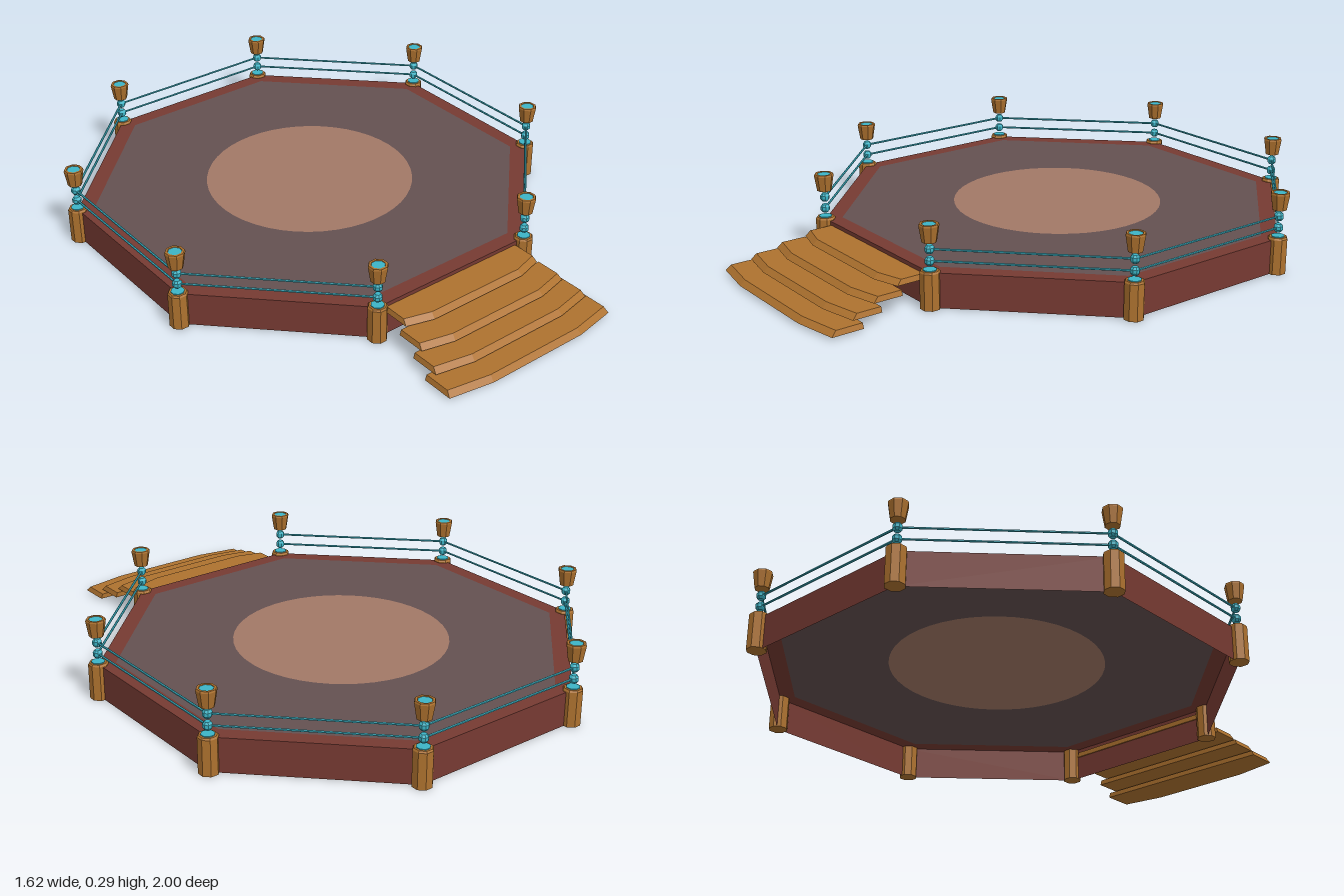
import * as THREE from 'three';

const CENTRE_Z = -0.185;
const OUTER = 0.844;   // corner radius of the octagon
const INNER = 0.785;   // corner radius of the floor
const HEIGHT = 0.12;
const ARENA = 0.375;

const mat = (name, color, side = THREE.FrontSide) => {
  const m = new THREE.MeshStandardMaterial({ color, side, flatShading: true });
  m.name = name;
  return m;
};

export function createModel() {
  const model = new THREE.Group();
  model.name = 'octagonalPlatform';

  const wood = mat('wood', 0xae722f);
  const red = mat('redTrim', 0x763a32, THREE.DoubleSide);
  const grey = mat('greyFloor', 0x645151, THREE.DoubleSide);
  const tan = mat('tanCircle', 0xa27866, THREE.DoubleSide);
  const teal = mat('tealRope', 0x3cb4c6);

  const add = (parent, name, geometry, material, x = 0, y = 0, z = 0) => {
    const mesh = new THREE.Mesh(geometry, material);
    mesh.name = name;
    mesh.position.set(x, y, z);
    parent.add(mesh);
    return mesh;
  };
  const flat = (geometry) => geometry.rotateX(-Math.PI / 2);
  const corner = (k, r) => {
    const a = Math.PI / 8 + k * Math.PI / 4;
    return new THREE.Vector2(Math.cos(a) * r, Math.sin(a) * r);
  };

  // Platform: open-bottomed skirt, rim, floor and centre circle
  const platform = new THREE.Group();
  platform.name = 'platform';
  platform.position.z = CENTRE_Z;
  model.add(platform);
  add(platform, 'skirt', new THREE.CylinderGeometry(OUTER, OUTER, HEIGHT, 8, 1, true, Math.PI / 8), red, 0, HEIGHT / 2, 0);
  add(platform, 'rim', flat(new THREE.RingGeometry(INNER, OUTER, 8, 1, Math.PI / 8)), red, 0, HEIGHT, 0);
  const floor = new THREE.Shape(Array.from({ length: 8 }, (_, k) => corner(k, INNER)));
  floor.holes.push(new THREE.Path().absarc(0, 0, ARENA, 0, Math.PI * 2, true));
  add(platform, 'floor', flat(new THREE.ShapeGeometry(floor, 24)), grey, 0, HEIGHT, 0);
  add(platform, 'centreCircle', flat(new THREE.CircleGeometry(ARENA, 48)), tan, 0, HEIGHT, 0);

  // Corner posts with rope beads and floating cups
  const postGeo = new THREE.LatheGeometry(
    [[0, 0], [0.034, 0], [0.034, 0.124], [0.03, 0.13], [0, 0.13]].map(([r, y]) => new THREE.Vector2(r, y)), 8);
  const cupGeo = new THREE.LatheGeometry(
    [[0, 0.225], [0.025, 0.225], [0.034, 0.28], [0.032, 0.286], [0.024, 0.286], [0.022, 0.28], [0, 0.28]]
      .map(([r, y]) => new THREE.Vector2(r, y)), 8);
  const beadGeo = new THREE.LatheGeometry(
    [[0, -0.014], [0.01, -0.014], [0.016, -0.006], [0.016, 0.006], [0.01, 0.014], [0, 0.014]]
      .map(([r, y]) => new THREE.Vector2(r, y)), 8);
  const discGeo = new THREE.CylinderGeometry(0.023, 0.023, 0.006, 8);
  const ropeLevels = [0.16, 0.2];

  for (let k = 0; k < 8; k++) {
    const p = corner(k, OUTER);
    const post = new THREE.Group();
    post.name = 'cornerPost';
    post.position.set(p.x, 0, p.y);
    post.rotation.y = -(Math.PI / 8 + k * Math.PI / 4);
    platform.add(post);
    add(post, 'postBase', postGeo, wood);
    add(post, 'postCap', discGeo, teal, 0, 0.13, 0);
    add(post, 'cup', cupGeo, wood);
    add(post, 'cupFilling', discGeo, teal, 0, 0.281, 0);
    for (const y of ropeLevels) add(post, 'ropeBead', beadGeo, teal, 0, y, 0);

    // Ropes on every side except the stair opening at the front
    if (k === 1) continue;
    const q = corner(k + 1, OUTER);
    for (const y of ropeLevels) {
      const path = new THREE.LineCurve3(new THREE.Vector3(p.x, y, p.y), new THREE.Vector3(q.x, y, q.y));
      add(platform, 'rope', new THREE.TubeGeometry(path, 1, 0.004, 6), teal);
    }
  }

  // Stair treads: angled front edge, front face sloping out towards the bottom
  const stairs = new THREE.Group();
  stairs.name = 'stairs';
  model.add(stairs);
  const backs = [0.59, 0.69, 0.78, 0.86];
  const fronts = [0.705, 0.805, 0.895, 0.982];
  backs.forEach((back, i) => {
    const w = 0.285 + i * 0.02;
    const front = fronts[i];
    const outline = new THREE.Shape([
      [-w, back], [w, back], [w, front - 0.027], [0.19, front], [-0.19, front], [-w, front - 0.027],
    ].map(([x, z]) => new THREE.Vector2(x, z)));
    const tread = new THREE.ExtrudeGeometry(outline, { depth: 0.018, bevelEnabled: false });
    tread.rotateX(Math.PI / 2);
    const pos = tread.attributes.position;
    for (let v = 0; v < pos.count; v++) {
      if (pos.getY(v) > -0.01) continue;
      pos.setX(v, pos.getX(v) * 1.018);
      if (pos.getZ(v) > back + 0.02) pos.setZ(v, pos.getZ(v) + 0.018);
    }
    tread.computeVertexNormals();
    add(stairs, 'tread', tread, wood, 0, 0.106 - i * 0.0265, 0);
  });

  return model;
}
